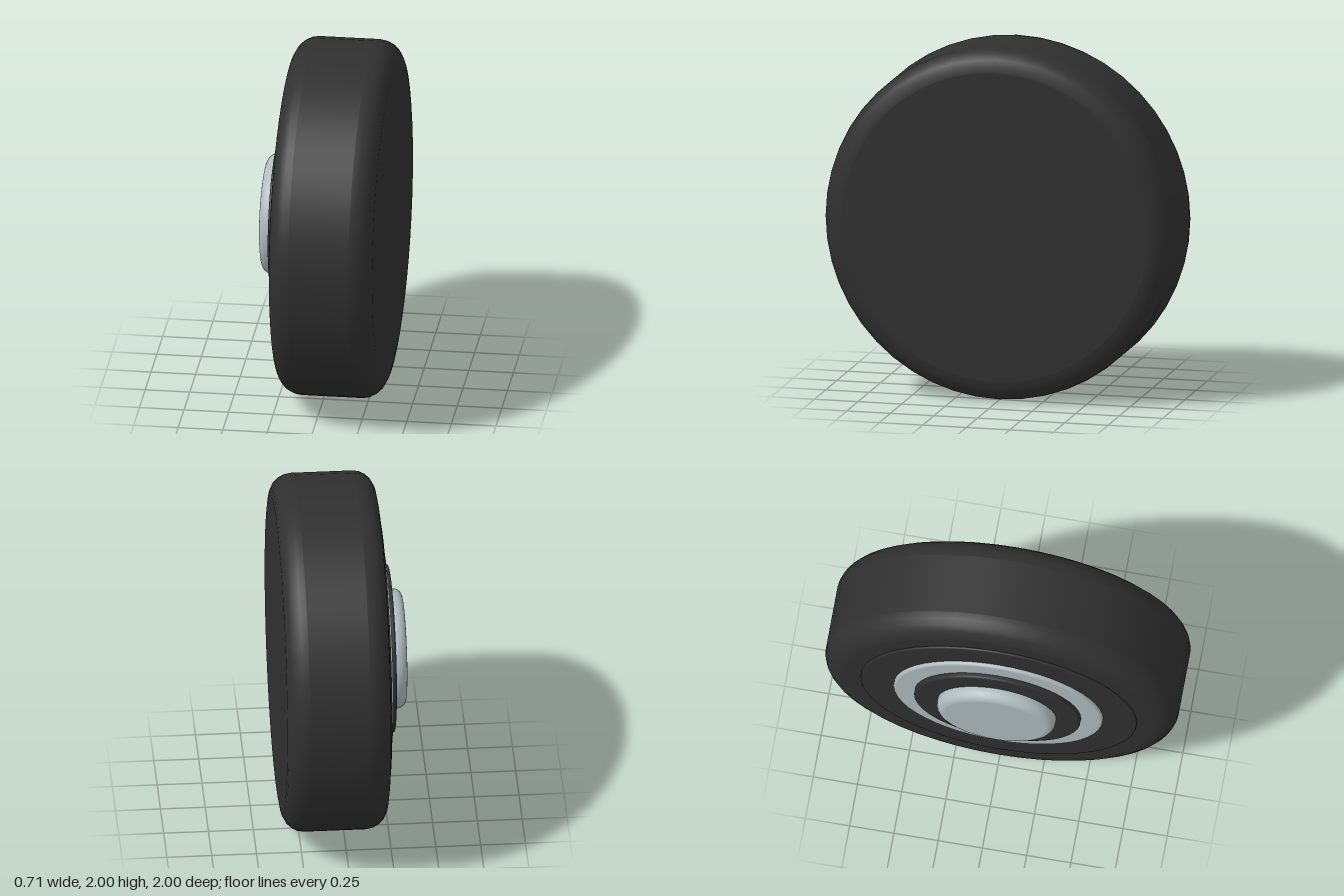
import * as THREE from 'three';

const rubber = new THREE.MeshStandardMaterial({ color: 0x303030 });
rubber.name = 'dark rubber';
const metal = new THREE.MeshStandardMaterial({ color: 0xb0bcc0 });
metal.name = 'pale metal';

// Solid disc about the x axis, from xInner to xOuter (outer side is -x), with rounded rims
function disc(name, material, radius, xInner, xOuter, innerFillet, outerFillet, steps = 5) {
  const h0 = -xInner, h1 = -xOuter, e = 0.002;
  const pts = [new THREE.Vector2(0, h0)];
  const arc = (h, r, start) => {
    if (r === 0) {
      pts.push(new THREE.Vector2(radius, h));
      return;
    }
    for (let i = 0; i <= steps; i++) {
      const a = start + (i / steps) * Math.PI / 2;
      pts.push(new THREE.Vector2(radius - r + r * Math.cos(a), h + r * Math.sin(a)));
    }
  };
  // short strips beside each fillet keep the flat faces evenly shaded
  pts.push(new THREE.Vector2(radius - innerFillet - e, h0));
  arc(h0 + innerFillet, innerFillet, -Math.PI / 2);
  pts.push(new THREE.Vector2(radius, h0 + innerFillet + e));
  pts.push(new THREE.Vector2(radius, h1 - outerFillet - e));
  arc(h1 - outerFillet, outerFillet, 0);
  pts.push(new THREE.Vector2(radius - outerFillet - e, h1));
  pts.push(new THREE.Vector2(0, h1));

  const mesh = new THREE.Mesh(new THREE.LatheGeometry(pts, 48), material);
  mesh.name = name;
  mesh.rotation.z = Math.PI / 2;
  mesh.position.y = 1;
  return mesh;
}

export function createModel() {
  const wheel = new THREE.Group();
  wheel.name = 'wheel';
  wheel.add(
    disc('tire', rubber, 1, 0.355, -0.225, 0.12, 0.12),
    // stepped hub on the outer side
    disc('sidewallPlate', rubber, 0.78, -0.1, -0.238, 0, 0.008, 3),
    disc('rimRing', metal, 0.592, -0.1, -0.258, 0, 0.014, 3),
    disc('innerPlate', rubber, 0.47, -0.1, -0.286, 0, 0.01, 3),
    disc('hubCap', metal, 0.335, -0.1, -0.357, 0, 0.05),
  );
  return wheel;
}
